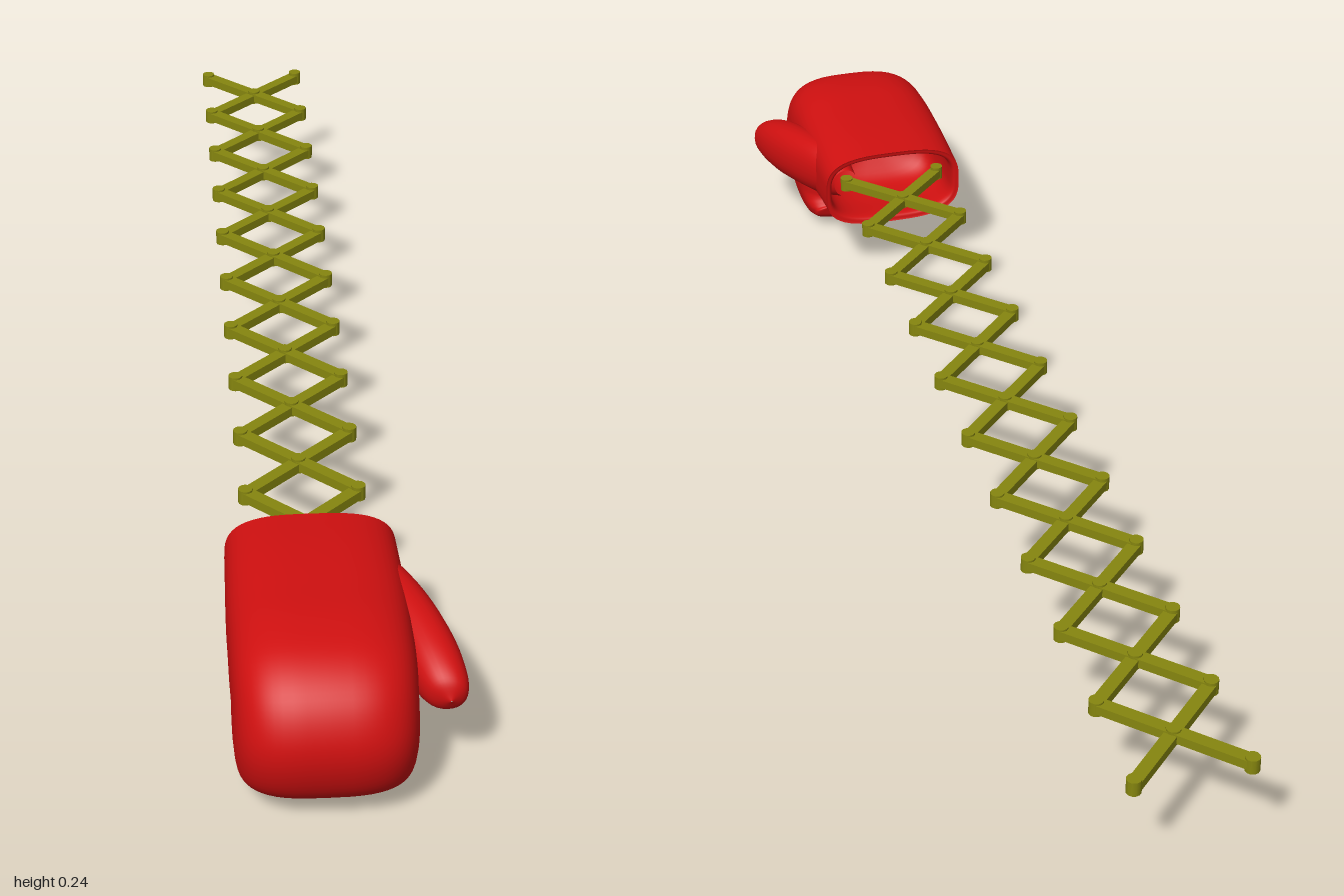
import * as THREE from 'three';

const V = (x, y, z) => new THREE.Vector3(x, y, z);

// Smooth skin through rounded sections. Each section: [centreX, halfWidth, topY, topZ, bottomY, bottomZ]
function loft(sections, rows, power, segments = 40) {
  const spline = (f) => new THREE.CatmullRomCurve3(sections.map(f), false, 'catmullrom', 0.5);
  const tops = spline((s) => V(s[0], s[2], s[3]));
  const bottoms = spline((s) => V(s[0], s[4], s[5]));
  const widths = spline((s) => V(s[1], 0, 0));
  const bend = (c) => Math.sign(c) * Math.pow(Math.abs(c), 2 / power);
  const pos = [], index = [];
  for (let i = 0; i <= rows; i++) {
    const t = i / rows;
    const top = tops.getPoint(t), bottom = bottoms.getPoint(t);
    const w = Math.max(widths.getPoint(t).x, 0.0005);
    const mid = top.clone().add(bottom).multiplyScalar(0.5);
    const half = top.clone().sub(bottom).multiplyScalar(0.5);
    for (let j = 0; j < segments; j++) {
      const a = (j / segments) * Math.PI * 2;
      const p = mid.clone().addScaledVector(half, bend(Math.sin(a)));
      pos.push(p.x + w * bend(Math.cos(a)), p.y, p.z);
      if (i === rows) continue;
      const k = (j + 1) % segments, r = i * segments, n = r + segments;
      index.push(r + j, r + k, n + j, r + k, n + k, n + j);
    }
  }
  const g = new THREE.BufferGeometry();
  g.setAttribute('position', new THREE.Float32BufferAttribute(pos, 3));
  g.setIndex(index);
  g.computeVertexNormals();
  return g;
}

export function createModel() {
  const model = new THREE.Group();
  model.name = 'extendingGlove';
  const red = new THREE.MeshStandardMaterial({ color: 0xd01010 });
  red.name = 'gloveRed';
  const olive = new THREE.MeshStandardMaterial({ color: 0x86860f });
  olive.name = 'olive';
  const add = (parent, name, geometry, material) => {
    const m = new THREE.Mesh(geometry, material);
    m.name = name;
    parent.add(m);
    return m;
  };

  // Glove: the sections fan round the knuckles and curl back under the palm
  const glove = new THREE.Group();
  glove.name = 'glove';
  model.add(glove);
  const cx = -0.032;
  add(glove, 'gloveBody', loft([
    [cx, 0.118, 0.240, 0.600, 0.105, 0.600],
    [cx, 0.120, 0.244, 0.680, 0.098, 0.660],
    [cx, 0.122, 0.245, 0.770, 0.088, 0.715],
    [cx, 0.122, 0.244, 0.850, 0.078, 0.755],
    [cx, 0.122, 0.232, 0.920, 0.072, 0.772],
    [cx, 0.121, 0.200, 0.970, 0.068, 0.778],
    [cx, 0.121, 0.150, 0.996, 0.065, 0.780],
    [cx, 0.120, 0.100, 0.996, 0.062, 0.780],
    [cx, 0.117, 0.050, 0.973, 0.060, 0.780],
    [cx, 0.113, 0.017, 0.925, 0.057, 0.780],
    [cx, 0.108, 0.002, 0.865, 0.054, 0.780],
    [cx, 0.100, 0.005, 0.815, 0.050, 0.780],
    [cx, 0.085, 0.020, 0.785, 0.046, 0.777],
    [cx, 0.001, 0.038, 0.785, 0.040, 0.785],
  ], 78, 3.1, 56), red);

  // Hollow cuff, from its deep end out to the rim
  add(glove, 'cuffLining', loft([
    [cx, 0.001, 0.171, 0.760, 0.169, 0.760],
    [cx, 0.085, 0.215, 0.750, 0.125, 0.720],
    [cx, 0.104, 0.229, 0.680, 0.115, 0.670],
    [cx, 0.107, 0.229, 0.610, 0.116, 0.610],
    [cx, 0.118, 0.240, 0.600, 0.105, 0.600],
  ], 24, 3.1, 56), red);

  // Thumb on the left side, tapering forward
  add(glove, 'thumb', loft([
    [0.045, 0.020, 0.200, 0.630, 0.150, 0.630],
    [0.062, 0.036, 0.218, 0.690, 0.125, 0.690],
    [0.084, 0.041, 0.215, 0.750, 0.116, 0.750],
    [0.104, 0.040, 0.205, 0.810, 0.111, 0.805],
    [0.118, 0.036, 0.190, 0.860, 0.111, 0.855],
    [0.127, 0.026, 0.170, 0.893, 0.117, 0.887],
    [0.130, 0.001, 0.143, 0.905, 0.141, 0.905],
  ], 40, 2.2, 28), red);

  // Scissor lattice: ten crosses, pinned at the crossings and at the bar ends
  const lattice = new THREE.Group();
  lattice.name = 'scissorLattice';
  model.add(lattice);
  const x0 = -0.034, y0 = 0.182, reach = 0.08;
  const bar = new THREE.BoxGeometry(0.019, 0.014, reach * 2 * Math.SQRT2);
  const pin = new THREE.CylinderGeometry(0.0105, 0.0105, 0.022, 12);
  const addPin = (x, z) => add(lattice, 'pin', pin, olive).position.set(x, y0, z);
  for (let i = 0; i < 10; i++) {
    const z = -0.903 + i * 2 * reach;
    for (const side of [-1, 1]) {
      const b = add(lattice, 'bar', bar, olive);
      b.position.set(x0, y0 + side * 0.001, z);
      b.rotation.y = side * Math.PI / 4;
      addPin(x0 + side * reach, z - reach);
      if (i === 9) addPin(x0 + side * reach, z + reach);
    }
    addPin(x0, z);
  }
  return model;
}
